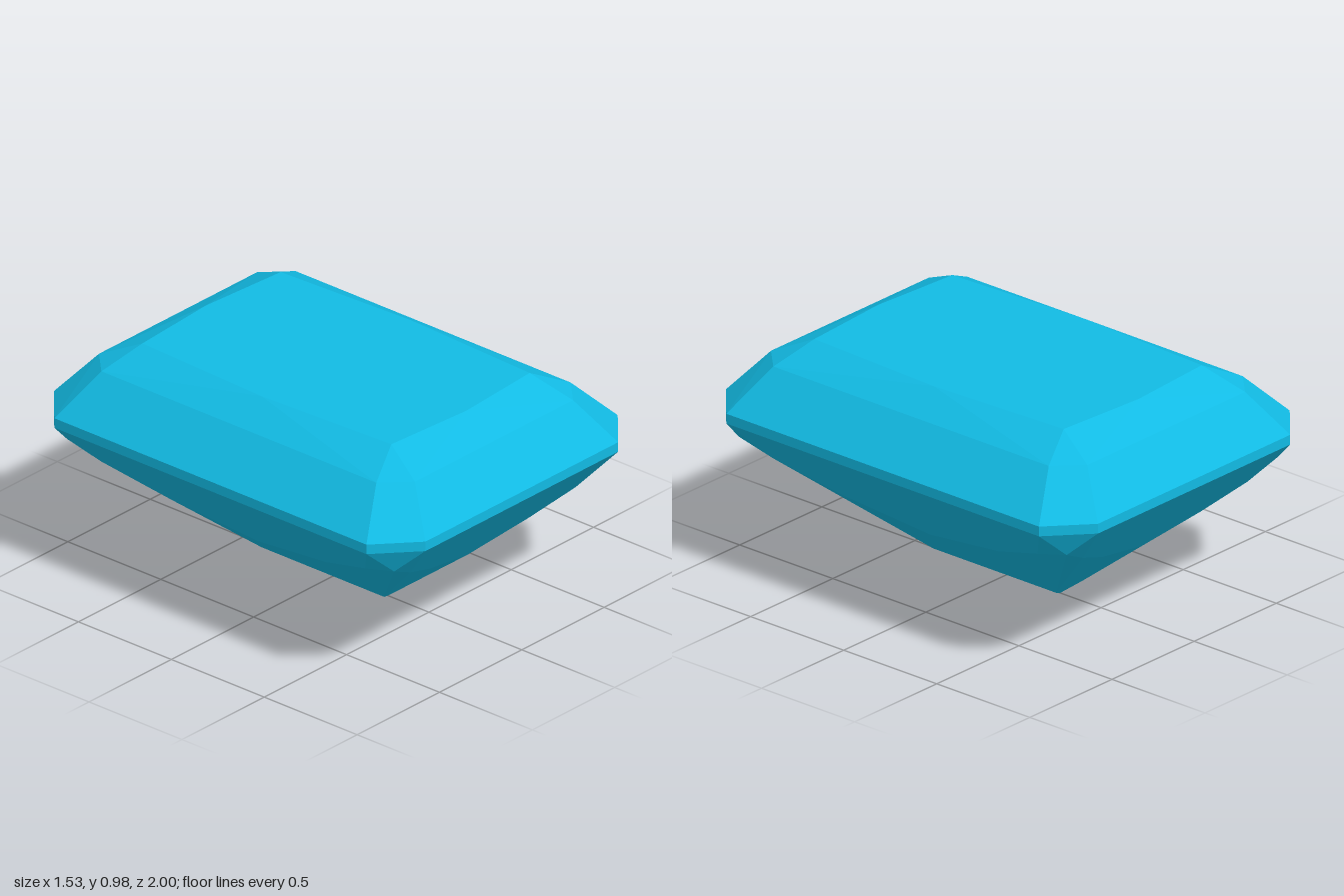
import * as THREE from 'three';
import { ConvexGeometry } from 'three/addons/geometries/ConvexGeometry.js';

// Repeats one corner point [x, y, z] in all four quadrants (zero coordinates are not doubled)
function mirror([x, y, z]) {
  const points = [];
  for (const sx of x ? [1, -1] : [1]) {
    for (const sz of z ? [1, -1] : [1]) points.push(new THREE.Vector3(sx * x, y, sz * z));
  }
  return points;
}

export function createModel() {
  const material = new THREE.MeshStandardMaterial({ color: 0x12bbe4, flatShading: true });

  // Sloping planes of the upper pavilion facets
  const slope = (y) => (0.672 - y) * 0.855;
  const onSide = (y, z) => [0.763 - slope(y), y, z];
  const onEnd = (x, y) => [x, y, 1 - slope(y)];

  const corners = [
    // table
    [0.45, 0.98, 0], [0.42, 0.98, 0.67], [0, 0.98, 0.7],
    // crown step
    [0.59, 0.895, 0.74], [0.48, 0.895, 0.85],
    // girdle, upper and lower edge
    [0.763, 0.715, 0.84], [0.585, 0.715, 1],
    [0.763, 0.672, 0.84], [0.585, 0.672, 1],
    // pavilion: corner tip, then the curved lower edge of the side and end facets
    [0.64, 0.56, 0.88],
    onSide(0.51, 0.71), onSide(0.405, 0.42), onSide(0.333, 0),
    onEnd(0.5, 0.49), onEnd(0.3, 0.405), onEnd(0, 0.333),
    // keel and the small facets beside its ends
    [0.08, 0.042, 0.33], [0, 0, 0.28],
  ];

  // A cut stone is convex, so its facets are the hull of its corners
  const gem = new THREE.Mesh(new ConvexGeometry(corners.flatMap(mirror)), material);
  gem.name = 'cutGem';

  const group = new THREE.Group();
  group.name = 'gemstone';
  group.add(gem);
  return group;
}
